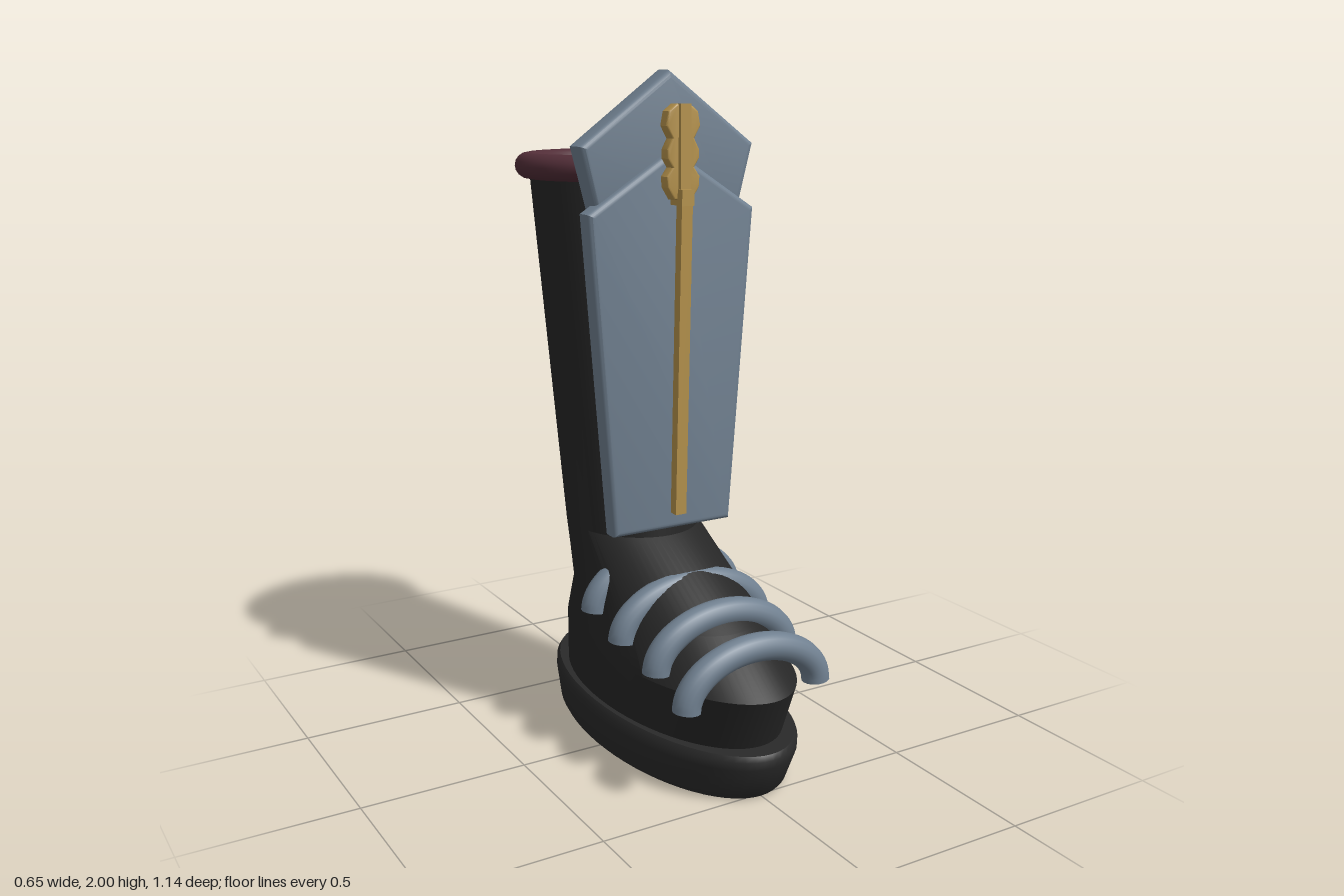
import * as THREE from 'three';
import { toCreasedNormals, mergeGeometries } from 'three/addons/utils/BufferGeometryUtils.js';

const material = (name, color, side = THREE.FrontSide) =>
  new THREE.MeshStandardMaterial({ name, color, side });

// Skin elliptical sections [y, back z, front z, half width], from the bottom up.
function loft(sections, capped, crease) {
  const n = 64, pos = [], idx = [];
  for (const [y, back, front, rx] of sections) {
    for (let i = 0; i < n; i++) {
      const a = (i / n) * Math.PI * 2;
      pos.push(rx * Math.cos(a), y, (back + front) / 2 + ((front - back) / 2) * Math.sin(a));
    }
  }
  for (let s = 0; s < sections.length - 1; s++) {
    for (let i = 0; i < n; i++) {
      const a = s * n + i, b = s * n + ((i + 1) % n);
      idx.push(a, a + n, b, b, a + n, b + n);
    }
  }
  if (capped) {
    const top = (sections.length - 1) * n, c = sections.length * n;
    for (const s of [sections[0], sections[sections.length - 1]]) pos.push(0, s[0], (s[1] + s[2]) / 2);
    for (let i = 0; i < n; i++) {
      const j = (i + 1) % n;
      idx.push(c, i, j, c + 1, top + j, top + i);
    }
  }
  const geo = new THREE.BufferGeometry();
  geo.setAttribute('position', new THREE.Float32BufferAttribute(pos, 3));
  geo.setIndex(idx);
  return toCreasedNormals(geo, crease);
}

// Bevelled plate mirrored in x; half outline runs from bottom to top.
function plate(half, z0, z1, bevel) {
  const pts = [...half, ...half.filter(p => p[0] > 0).reverse().map(([x, y]) => [-x, y])];
  const shape = new THREE.Shape(pts.map(([x, y]) => new THREE.Vector2(x, y)));
  const geo = new THREE.ExtrudeGeometry(shape, {
    depth: z1 - z0 - 2 * bevel, bevelEnabled: true, bevelSize: bevel,
    bevelThickness: bevel, bevelOffset: -bevel, bevelSegments: 4,
  });
  geo.translate(0, 0, z0 + bevel);
  return toCreasedNormals(geo, 0.5);
}

// Half-ellipse band over the foot, closed at both ends.
function strapGeometry(rx, ry, tube) {
  const pts = [];
  for (let i = 0; i <= 24; i++) {
    const a = (i / 24) * Math.PI;
    pts.push(new THREE.Vector3(rx * Math.cos(a), ry * Math.sin(a), 0));
  }
  const parts = [new THREE.TubeGeometry(new THREE.CatmullRomCurve3(pts), 48, tube, 16)];
  for (const side of [-1, 1]) {
    parts.push(new THREE.CircleGeometry(tube, 16).rotateX(Math.PI / 2).translate(side * rx, 0, 0));
  }
  return mergeGeometries(parts);
}

export function createModel() {
  const model = new THREE.Group();
  model.name = 'armouredBoot';
  const leather = material('black leather', 0x262626, THREE.DoubleSide);
  const rubber = material('black sole', 0x2a2a2a);
  const steel = material('blue steel', 0x708090);
  const trim = material('dark red trim', 0x512d37);
  const gold = material('old gold', 0xb5924c);

  const add = (name, geo, mat, parent = model) => {
    const mesh = new THREE.Mesh(geo, mat);
    mesh.name = name;
    parent.add(mesh);
    return mesh;
  };

  // Sole, flaring slightly upward
  add('sole', loft([
    [0, -0.55, 0.51, 0.245],
    [0.015, -0.56, 0.525, 0.253],
    [0.11, -0.57, 0.567, 0.27],
    [0.135, -0.57, 0.57, 0.268],
    [0.15, -0.56, 0.56, 0.258],
  ], true, 0.8), rubber);

  // Foot and open shaft
  add('upper', loft([
    [0.14, -0.5, 0.5, 0.243],
    [0.31, -0.5, 0.57, 0.25],
    [0.44, -0.45, 0.37, 0.225],
    [0.63, -0.465, 0.0, 0.2],
    [1.73, -0.53, -0.05, 0.285],
  ], false, 0.45), leather);

  // Rolled rim
  const rimPath = new THREE.CatmullRomCurve3(Array.from({ length: 32 }, (_, i) => {
    const a = (i / 32) * Math.PI * 2;
    return new THREE.Vector3(0.288 * Math.cos(a), 1.728, -0.29 + 0.243 * Math.sin(a));
  }), true);
  add('rim', new THREE.TubeGeometry(rimPath, 96, 0.038, 16, true), trim);

  // Foot straps, stepping up towards the ankle
  const straps = new THREE.Group();
  straps.name = 'footStraps';
  model.add(straps);
  [[0.46, 0.29, 0.218], [0.295, 0.34, 0.218], [0.125, 0.38, 0.235], [-0.045, 0.42, 0.235]]
    .forEach(([z, y, rx], i) => {
      add('strap' + (i + 1), strapGeometry(rx, 0.14, 0.041), steel, straps).position.set(0, y, z);
    });

  // Shin and knee plates
  add('shinPlate', plate([[0.2, 0.66], [0.275, 1.61], [0, 1.785]], -0.042, 0.03, 0.018), steel);
  add('kneePlate', plate([[0.225, 1.57], [0.285, 1.795], [0, 2.003]], -0.077, 0.008, 0.018), steel);

  // Gold blade, leaning gently away from the shin plate
  const sword = new THREE.Group();
  sword.name = 'sword';
  model.add(sword);
  const blade = add('blade', new THREE.BoxGeometry(0.036, 0.95, 0.03), gold, sword);
  blade.position.set(0, 1.19, 0.07);
  blade.rotation.x = 0.034;
  add('collar', new THREE.BoxGeometry(0.04, 0.045, 0.065), gold, sword).position.set(0, 1.652, 0.072);

  // Scalloped hilt
  add('hilt', plate([
    [0.03, 1.645], [0.052, 1.68], [0.054, 1.71], [0.036, 1.735], [0.052, 1.76],
    [0.052, 1.785], [0.036, 1.815], [0.056, 1.85], [0.048, 1.89], [0.022, 1.91],
  ], 0.04, 0.08, 0.006), gold, sword);
  add('hiltRidge', new THREE.BoxGeometry(0.034, 0.25, 0.058), gold, sword).position.set(0, 1.785, 0.063);

  return model;
}
